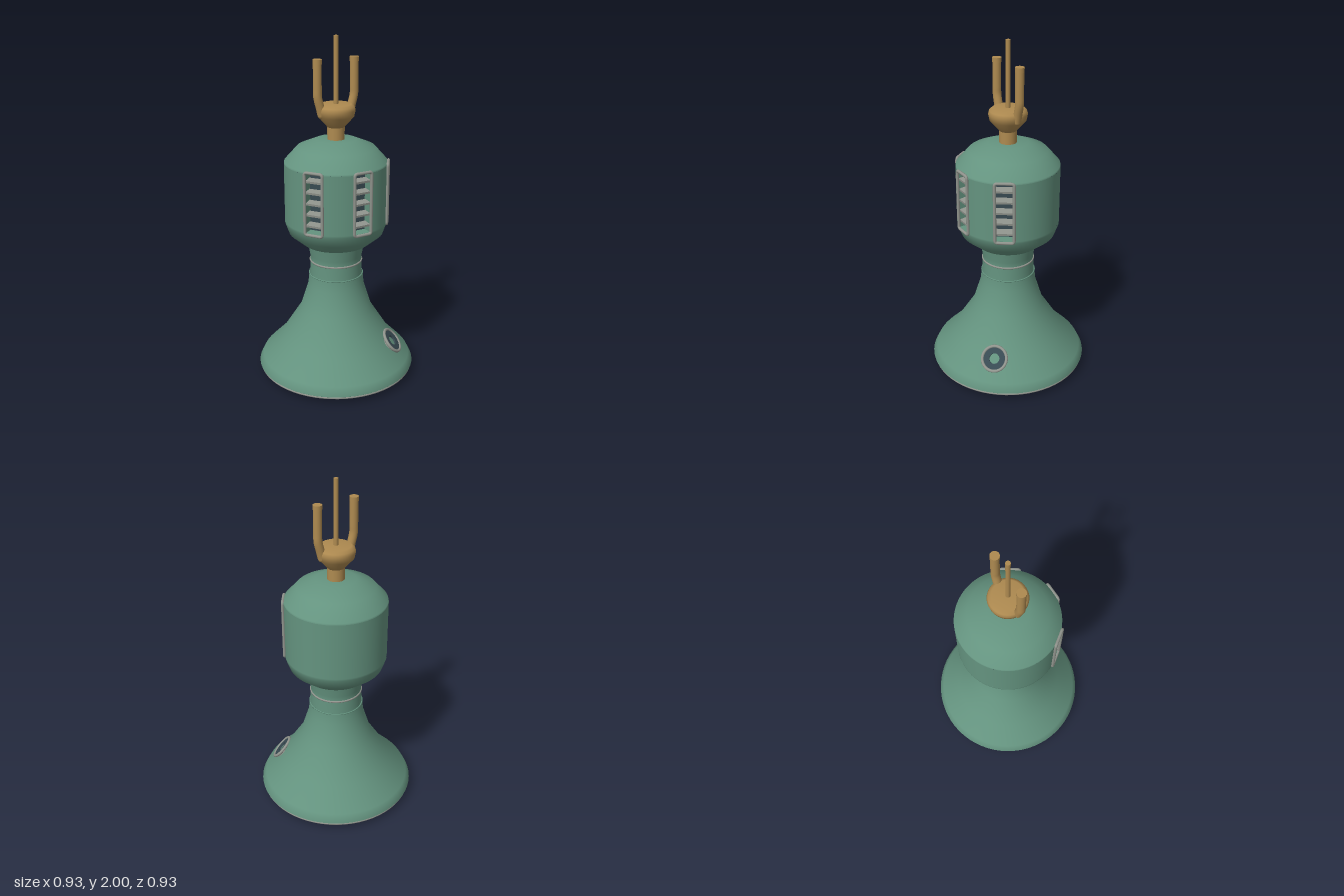
import * as THREE from 'three';

const paint = (name, color) => {
  const m = new THREE.MeshStandardMaterial({ color });
  m.name = name;
  return m;
};

export function createModel() {
  const green = paint('sea green', 0x64937f);
  const brass = paint('brass', 0xae8a50);
  const grey = paint('warm grey', 0x90948d);
  const slate = paint('dark slate', 0x384a52);

  const model = new THREE.Group();
  model.name = 'beacon';
  const add = (name, geometry, material, parent = model, x = 0, y = 0, z = 0) => {
    const mesh = new THREE.Mesh(geometry, material);
    mesh.name = name;
    mesh.position.set(x, y, z);
    parent.add(mesh);
    return mesh;
  };
  const lathe = (pts, start = 0, length = Math.PI * 2, segments = 64) =>
    new THREE.LatheGeometry(pts.map(p => new THREE.Vector2(...p)), segments, start, length);
  const hoop = (name, r, tube, y, material) => {
    add(name, new THREE.TorusGeometry(r, tube, 8, 64), material, model, 0, y).rotation.x = Math.PI / 2;
  };

  // Flared base and neck
  add('footBottom', lathe([[0, 0], [0.37, 0]]), green);
  add('foot', lathe([[0.37, 0], [0.455, 0.032]]), green);
  hoop('footTrim', 0.455, 0.007, 0.04, grey);
  add('skirt', lathe([[0.455, 0.042], [0.466, 0.052], [0.442, 0.1], [0.33, 0.215], [0.212, 0.4],
    [0.165, 0.55], [0.158, 0.62]]), green);
  hoop('neckSeam', 0.157, 0.004, 0.62, green);
  add('neck', lathe([[0.154, 0.62], [0.15, 0.71], [0.152, 0.74], [0.166, 0.815]]), green);
  hoop('neckBand', 0.15, 0.006, 0.705, grey);

  // Drum, its wall left open at the three vents
  const vents = [-0.95, 0, 0.95];
  const R = 0.295, low = 0.957, high = 1.297, mid = (low + high) / 2, gap = 0.17;
  add('drumUnderside', lathe([[0.14, 0.812], [0.195, 0.818]]), green);
  add('drumLower', lathe([[0.195, 0.818], [0.273, 0.883], [R, 0.945], [R, low]]), green);
  add('drumUpper', lathe([[R, high], [0.293, 1.306], [0.222, 1.385], [0.115, 1.43], [0, 1.43]]), green);
  vents.forEach((a, i) => {
    const end = i < 2 ? vents[i + 1] : vents[0] + Math.PI * 2;
    add('drumWall', lathe([[R, low], [R, high]], a + gap, end - a - 2 * gap, i < 2 ? 12 : 44), green);
  });

  // Rounded frame path shared by the vents
  const w = 0.053, h = 0.178, c = 0.015;
  const framePath = new THREE.CurvePath();
  const V = (x, y) => new THREE.Vector3(x, y, 0);
  const corners = [[1, 1], [-1, 1], [-1, -1], [1, -1]];
  corners.forEach(([sx, sy], i) => {
    const along = V(sx * (w - c), sy * h), up = V(sx * w, sy * (h - c));
    const [from, to] = i % 2 ? [along, up] : [up, along];
    const [nx, ny] = corners[(i + 1) % 4];
    const next = i % 2 ? V(nx * w, ny * (h - c)) : V(nx * (w - c), ny * h);
    framePath.add(new THREE.QuadraticBezierCurve3(from, V(sx * w, sy * h), to));
    framePath.add(new THREE.LineCurve3(to, next));
  });
  const frameGeometry = new THREE.TubeGeometry(framePath, 160, 0.009, 8, true);

  // Louvred vents
  for (const a of vents) {
    const vent = new THREE.Group();
    vent.name = 'vent';
    vent.position.set(R * Math.sin(a), mid, R * Math.cos(a));
    vent.rotation.y = a;
    model.add(vent);
    add('ventFrame', frameGeometry, grey, vent);
    add('ventBack', new THREE.BoxGeometry(0.11, 0.35, 0.008), slate, vent, 0, 0, -0.068);
    for (const s of [-1, 1]) {
      add('ventSide', new THREE.BoxGeometry(0.008, 0.35, 0.064), green, vent, s * 0.054, 0, -0.036);
      add('ventEnd', new THREE.BoxGeometry(0.11, 0.008, 0.064), green, vent, 0, s * 0.174, -0.036);
    }
    for (let i = -2; i <= 2; i++) {
      add('louvre', new THREE.BoxGeometry(0.1, 0.012, 0.05), grey, vent, 0, i * 0.0635, -0.032).rotation.x = 0.12;
    }
  }

  // Round port on the sloping skirt
  const port = new THREE.Group();
  port.name = 'port';
  port.position.set(0.247, 0.207, 0.247);
  const tilt = 0.7;
  port.quaternion.setFromUnitVectors(new THREE.Vector3(0, 1, 0),
    new THREE.Vector3(Math.cos(tilt) * Math.SQRT1_2, Math.sin(tilt), Math.cos(tilt) * Math.SQRT1_2));
  model.add(port);
  add('portRim', new THREE.TorusGeometry(0.072, 0.009, 10, 40), grey, port).rotation.x = Math.PI / 2;
  add('portSleeve', lathe([[0.074, -0.035], [0.074, 0]]), grey, port);
  add('portFace', lathe([[0.07, 0.002], [0.03, 0.002]]), slate, port);
  add('portBore', lathe([[0.03, 0.002], [0.03, -0.03]]), slate, port);

  // Finial: stem, cup and central rod
  add('stem', new THREE.CylinderGeometry(0.049, 0.049, 0.1, 32), brass, model, 0, 1.46);
  add('cup', lathe([[0, 1.495], [0.045, 1.495], [0.102, 1.56], [0.109, 1.595], [0.103, 1.615],
    [0.085, 1.629], [0, 1.629]], 0, Math.PI * 2, 40), brass);
  add('rod', new THREE.CylinderGeometry(0.013, 0.013, 0.38, 16), brass, model, 0, 1.81);

  // Pair of bent prongs
  for (const s of [-1, 1]) {
    const path = new THREE.CatmullRomCurve3(
      [[0.09, 1.575], [0.1, 1.615], [0.115, 1.675], [0.116, 1.72], [0.116, 1.86]]
        .map(([x, y]) => new THREE.Vector3(s * x, y, 0)));
    add('prong', new THREE.TubeGeometry(path, 24, 0.024, 16), brass);
    add('prongTip', new THREE.CylinderGeometry(0.0255, 0.0255, 0.026, 20), brass, model, s * 0.116, 1.867);
    add('prongRoot', new THREE.SphereGeometry(0.024, 16, 10), brass, model, s * 0.09, 1.575);
  }
  return model;
}
